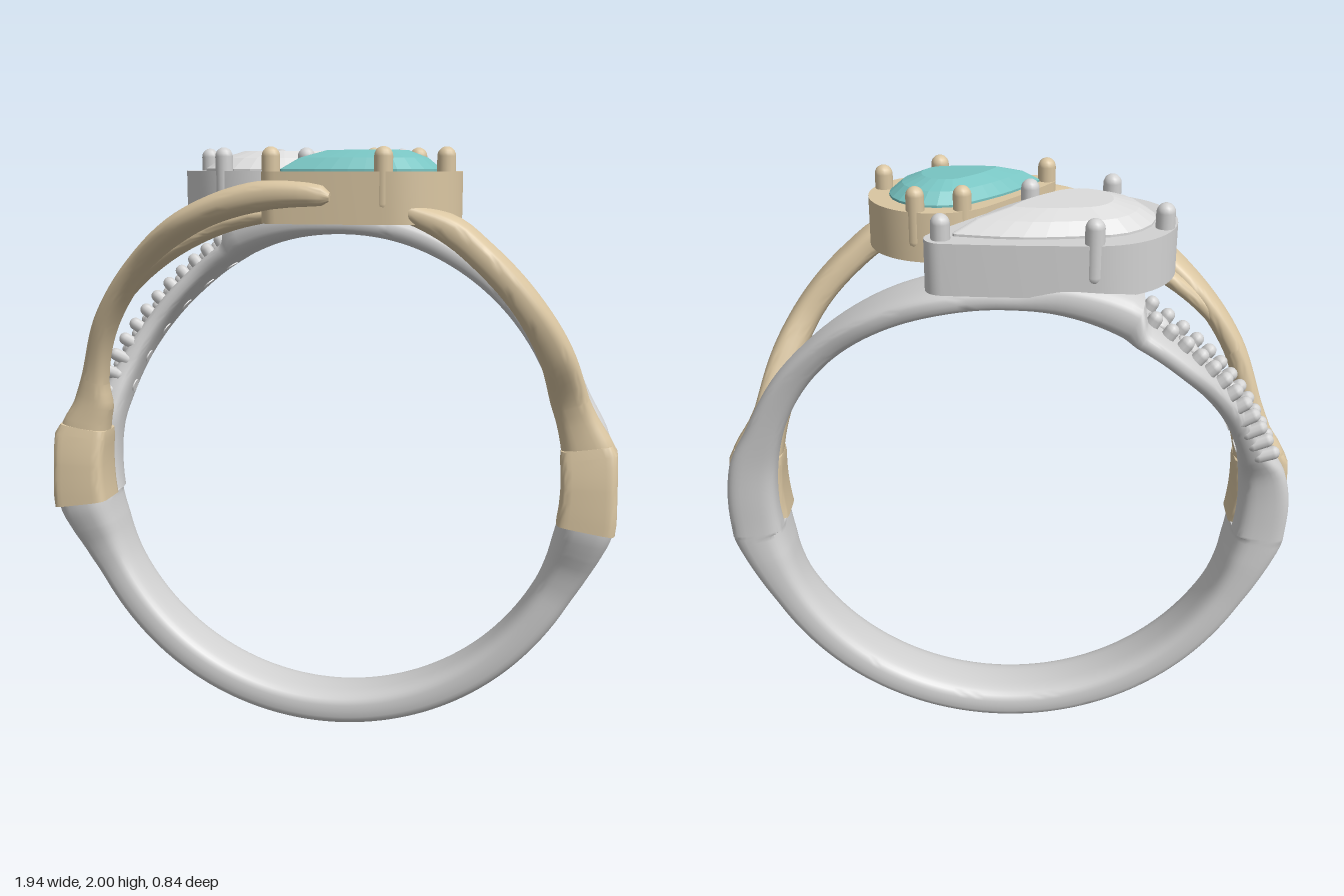
import * as THREE from 'three';
import { toCreasedNormals } from 'three/addons/utils/BufferGeometryUtils.js';
import { ConvexGeometry } from 'three/addons/geometries/ConvexGeometry.js';

const CY = 0.92; // height of the finger hole's centre
const RAD = Math.PI / 180;

function material(name, color) {
  const m = new THREE.MeshStandardMaterial({ color });
  m.name = name;
  return m;
}

// Monotone cubic interpolation of stations [angle, innerR, outerR, zBack, zFront]
function sample(st, a) {
  let i = 0;
  while (i < st.length - 2 && a > st[i + 1][0]) i++;
  const slope = (k, c) => (st[k + 1][c] - st[k][c]) / (st[k + 1][0] - st[k][0]);
  const tangent = (k, c) => {
    if (k === 0 || k === st.length - 1) return 0;
    const p = slope(k - 1, c), q = slope(k, c);
    return p * q <= 0 ? 0 : (2 * p * q) / (p + q);
  };
  const h = st[i + 1][0] - st[i][0];
  const t = (a - st[i][0]) / h, t2 = t * t, t3 = t2 * t;
  return [1, 2, 3, 4].map((c) =>
    (2 * t3 - 3 * t2 + 1) * st[i][c] + (t3 - 2 * t2 + t) * h * tangent(i, c) +
    (3 * t2 - 2 * t3) * st[i + 1][c] + (t3 - t2) * h * tangent(i + 1, c));
}

// Sweeps a rounded section around the finger hole
function band(stations, power) {
  const st = [...stations].sort((p, q) => p[0] - q[0]);
  const a0 = st[0][0], a1 = st[st.length - 1][0];
  const n = Math.ceil((a1 - a0) / 2), m = 32;
  const angles = st.map((s) => s[0]);
  for (let i = 1; i < n; i++) angles.push(a0 + ((a1 - a0) * i) / n);
  const list = [...new Set(angles)].sort((p, q) => p - q);
  const round = (v) => Math.sign(v) * Math.abs(v) ** (2 / power);
  const pos = [], idx = [];
  const put = (a, r, z) => pos.push(r * Math.cos(a * RAD), CY + r * Math.sin(a * RAD), z);
  for (const a of list) {
    const [ri, ro, z0, z1] = sample(st, a);
    for (let j = 0; j < m; j++) {
      const t = (j / m) * Math.PI * 2;
      put(a, (ri + ro) / 2 + ((ro - ri) / 2) * round(Math.cos(t)),
        (z0 + z1) / 2 + ((z1 - z0) / 2) * round(Math.sin(t)));
    }
  }
  const last = list.length - 1;
  for (let i = 0; i < last; i++) {
    for (let j = 0; j < m; j++) {
      const k = (j + 1) % m, p = i * m, q = p + m;
      idx.push(p + j, q + j, p + k, q + j, q + k, p + k);
    }
  }
  if (a1 - a0 < 359) {
    for (const [i, a] of [[0, a0], [last, a1]]) {
      const [ri, ro, z0, z1] = sample(st, a), c = pos.length / 3;
      put(a, (ri + ro) / 2, (z0 + z1) / 2);
      for (let j = 0; j < m; j++) {
        const p = i * m + j, q = i * m + ((j + 1) % m);
        idx.push(c, ...(i ? [q, p] : [p, q]));
      }
    }
  }
  const g = new THREE.BufferGeometry();
  g.setAttribute('position', new THREE.Float32BufferAttribute(pos, 3));
  g.setIndex(idx);
  return toCreasedNormals(g, 0.85);
}

// Pear outline around a large and a small circle with bulging sides, as [x, z] pairs
function pear([cx, cz, R], [tx, tz, r], n, bulge) {
  const dir = Math.atan2(tz - cz, tx - cx);
  const al = Math.acos((R - r) / Math.hypot(tx - cx, tz - cz));
  const pts = [];
  const put = (x, z, rad, a) => pts.push([x + rad * Math.cos(a), z + rad * Math.sin(a)]);
  const arc = (x, z, rad, from, to, k) => {
    for (let i = 0; i <= k; i++) put(x, z, rad, from + ((to - from) * i) / k);
  };
  const side = (a, flip) => {
    for (let i = 1; i < 6; i++) {
      const t = flip ? 1 - i / 6 : i / 6;
      put(cx + (tx - cx) * t, cz + (tz - cz) * t, R + (r - R) * t + bulge * Math.sin(Math.PI * t), a);
    }
  };
  arc(cx, cz, R, dir + al, dir + 2 * Math.PI - al, n);
  side(dir - al, false);
  arc(tx, tz, r, dir - al, dir + al, Math.max(2, Math.round(n / 4)));
  side(dir + al, true);
  return pts;
}

export function createModel() {
  const silver = material('silver', 0xd2d2d2);
  const gold = material('gold', 0xdac6a2);
  const clear = material('clear stone', 0xdcdcdc);
  const teal = material('teal stone', 0x78c4c2);
  const model = new THREE.Group();
  model.name = 'ring';
  const add = (name, geo, mat, parent = model) => {
    const mesh = new THREE.Mesh(geo, mat);
    mesh.name = name;
    parent.add(mesh);
    return mesh;
  };
  const mirror = (st) => st.map((s) => [180 - s[0], ...s.slice(1)]);

  // Silver band: full loop, rising to the back at the top
  const lower = [[-45, 0.8, 0.925, -0.115, 0.1], [-28, 0.8, 0.93, -0.115, 0.1],
    [-20, 0.795, 0.945, -0.118, 0.115], [-15, 0.79, 0.96, -0.12, 0.14],
    [-9, 0.79, 0.977, -0.12, 0.162], [-8.5, 0.79, 0.967, -0.12, 0.01], [0, 0.79, 0.96, -0.125, 0]];
  const silverBand = [
    [-90, 0.8, 0.92, -0.115, 0.1], ...lower,
    [8, 0.79, 0.95, -0.13, 0], [18, 0.79, 0.91, -0.145, -0.02], [32, 0.79, 0.89, -0.175, -0.05],
    [45, 0.79, 0.875, -0.22, -0.07], [62, 0.79, 0.87, -0.3, -0.08], [78, 0.79, 0.87, -0.355, -0.1],
    [90, 0.79, 0.87, -0.37, -0.08], [102, 0.79, 0.915, -0.385, -0.06], [116, 0.79, 0.935, -0.41, -0.08],
    [119, 0.79, 0.87, -0.42, -0.1], [130, 0.79, 0.86, -0.41, -0.13], [142, 0.79, 0.858, -0.34, -0.12],
    [155, 0.79, 0.865, -0.25, -0.08], [165, 0.79, 0.885, -0.19, -0.03], [172, 0.79, 0.94, -0.14, 0],
    ...mirror(lower).reverse(), [270, 0.8, 0.92, -0.115, 0.1]];
  add('silverBand', band(silverBand, 3.2), silver);

  // Gold shoulder blocks on both sides
  const block = [[-9, 0.785, 0.978, -0.015, 0.163], [0, 0.785, 0.968, -0.015, 0.155],
    [6.5, 0.785, 0.97, -0.012, 0.138], [8.5, 0.79, 0.955, -0.008, 0.13]];
  add('leftShoulder', band(block, 6), gold);
  add('rightShoulder', band(mirror(block), 6), gold);

  // Gold arms sweeping up to the small setting
  const root = [[6, 0.79, 0.965, -0.01, 0.13], [8, 0.79, 0.962, -0.008, 0.13],
    [10, 0.79, 0.95, 0, 0.128], [14, 0.79, 0.925, 0.01, 0.127]];
  add('leftGoldArm', band([...root, [18.5, 0.79, 0.913, 0.02, 0.14], [30, 0.82, 0.93, 0.09, 0.25],
    [42, 0.85, 0.945, 0.16, 0.325], [55, 0.875, 0.965, 0.19, 0.353], [62, 0.89, 0.98, 0.2, 0.355],
    [72, 0.9, 0.965, 0.2, 0.355]], 3), gold);
  add('rightGoldArm', band([...mirror(root),
    [160, 0.825, 0.917, 0.025, 0.135], [146, 0.87, 0.945, 0.05, 0.19], [132, 0.89, 0.965, 0.08, 0.255],
    [115, 0.9, 0.985, 0.16, 0.37], [101, 0.897, 0.99, 0.25, 0.41], [91, 0.9, 0.975, 0.32, 0.42],
    [87, 0.905, 0.965, 0.35, 0.415], [85.5, 0.92, 0.945, 0.37, 0.4]], 2.6), gold);
  add('rightGoldStrand', band([[138, 0.885, 0.94, 0.07, 0.19], [128, 0.88, 0.94, 0.07, 0.21],
    [115, 0.87, 0.925, 0.09, 0.22], [100, 0.86, 0.905, 0.17, 0.28], [90, 0.86, 0.89, 0.22, 0.3]], 2.6), gold);

  // Pear settings: hollow wall, faceted stone and prongs
  function setting(name, metal, gem, outer, tip, stone, stoneTip, depth, bulge, prongs) {
    const g = new THREE.Group();
    g.name = name;
    model.add(g);
    const flat = (pts) => pts.map(([x, z]) => new THREE.Vector2(x, -z));
    const wall = new THREE.Shape(flat(pear(outer, tip, 36, 0.005)));
    const inset = [stone[0], stone[1], stone[2] - 0.012];
    wall.holes.push(new THREE.Path(flat(pear(inset, stoneTip, 36, bulge))));
    const geo = new THREE.ExtrudeGeometry(wall, { depth: 0.157, bevelEnabled: false });
    geo.rotateX(-Math.PI / 2).translate(0, 1.768, 0);
    add(name + 'Wall', toCreasedNormals(geo, 0.5), metal, g);
    const pts = [];
    const outline = pear(stone, stoneTip, 14, bulge);
    const fx = stone[0] * 0.85 + stoneTip[0] * 0.15, fz = stone[1] * 0.85 + stoneTip[1] * 0.15;
    for (const [s, y] of [[0.12, depth], [0.6, depth + 0.07], [1, 1.915], [1, 1.932], [0.8, 1.966], [0.5, 1.99]])
      for (const [x, z] of outline) pts.push(new THREE.Vector3(fx + (x - fx) * s, y, fz + (z - fz) * s));
    add(name + 'Stone', new ConvexGeometry(pts), gem, g);
    const prong = new THREE.CapsuleGeometry(0.029, 0.142, 5, 14);
    for (const [x, z] of prongs) add(name + 'Prong', prong, metal, g).position.set(x, 1.9, z);
  }
  setting('largeSetting', silver, clear, [-0.25, -0.11, 0.266], [0.185, -0.305, 0.055],
    [-0.25, -0.1, 0.2], [0.145, -0.28, 0.012], 1.735, 0.022,
    [[-0.255, -0.352], [-0.47, -0.195], [-0.33, 0.118], [-0.07, 0.055], [0.19, -0.312]]);
  setting('smallSetting', gold, teal, [0.23, 0.15, 0.219], [-0.1, 0.315, 0.055],
    [0.222, 0.15, 0.16], [-0.09, 0.295, 0.01], 1.785, 0.015,
    [[-0.125, 0.312], [0.14, -0.02], [0.285, -0.035], [0.405, 0.215], [0.23, 0.342]]);

  // Small stones with four bead prongs each along the right silver arm
  const accents = new THREE.Group();
  accents.name = 'accentStones';
  model.add(accents);
  const bead = new THREE.CapsuleGeometry(0.023, 0.045, 4, 10);
  const gem = new THREE.SphereGeometry(0.04, 12, 8);
  const underside = new THREE.CylinderGeometry(0.023, 0.023, 0.008, 14);
  const bright = material('bright stone', 0xeeeeee);
  const place = (mesh, a, r, z) => {
    mesh.position.set(r * Math.cos(a * RAD), CY + r * Math.sin(a * RAD), z);
    mesh.rotation.z = (a - 90) * RAD;
  };
  for (let a = 122; a <= 162; a += 8) {
    const [ri, ro, z0, z1] = sample(silverBand, a);
    const z = (z0 + z1) / 2;
    const stone = add('accentStone', gem, clear, accents);
    place(stone, a, ro, z);
    stone.scale.y = 0.5;
    place(add('accentUnderside', underside, bright, accents), a, ri, z);
    for (const da of [-2, 2])
      for (const dz of [-0.065, 0.065]) {
        const b = sample(silverBand, a + da);
        place(add('accentBead', bead, silver, accents), a + da, b[1] - 0.005, (b[2] + b[3]) / 2 + dz);
      }
  }
  return model;
}
